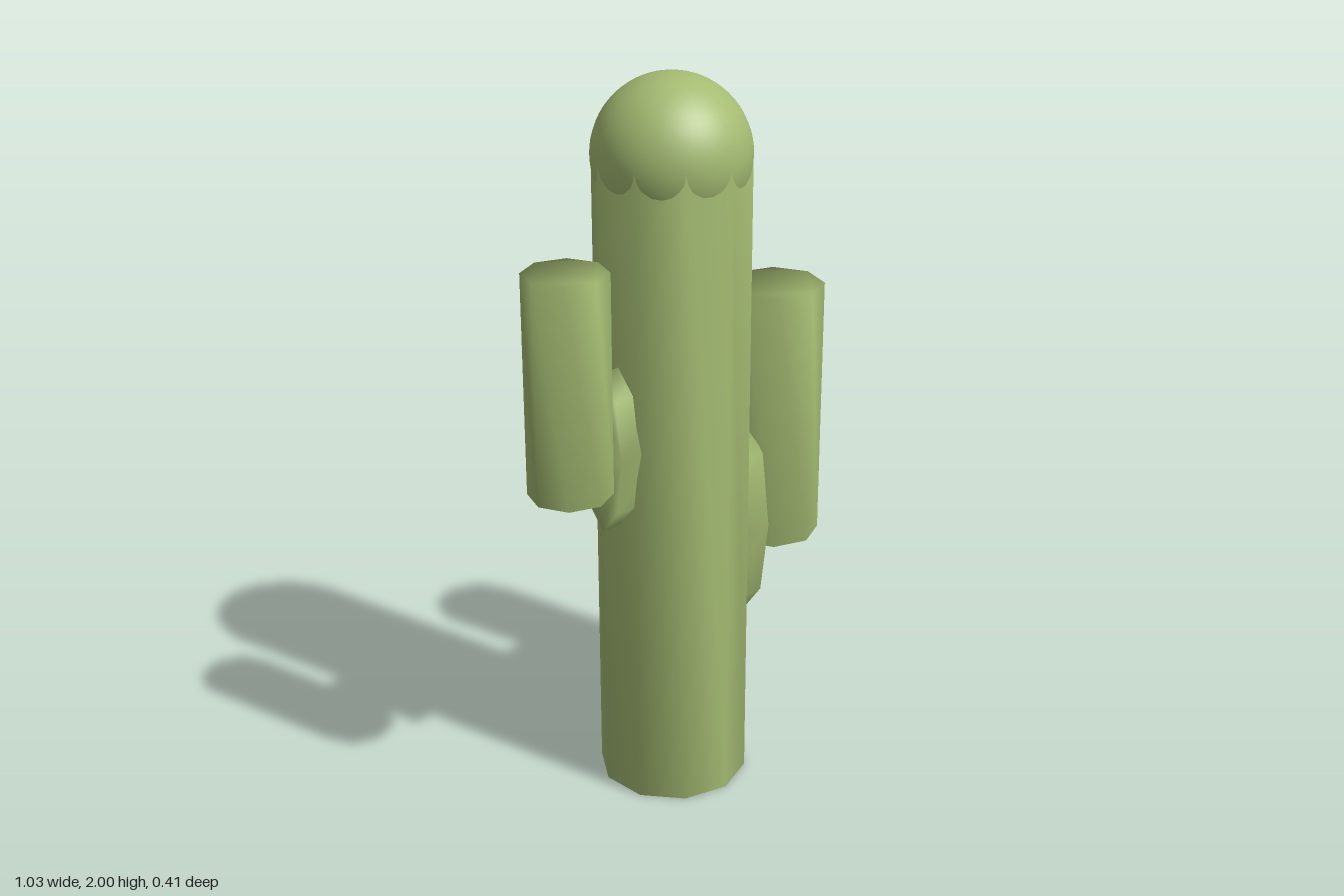
import * as THREE from 'three';
import { mergeVertices } from 'three/addons/utils/BufferGeometryUtils.js';

// Straight prism over a regular (or stretched) polygon, running along +z,
// with corners shared so the shading rolls softly over every edge.
function prism(sides, rx, ry, length) {
  const points = [];
  for (let i = 0; i < sides; i++) {
    const a = Math.PI / 2 + (i / sides) * Math.PI * 2;
    points.push(new THREE.Vector2(Math.cos(a) * rx, Math.sin(a) * ry));
  }
  const raw = new THREE.ExtrudeGeometry(new THREE.Shape(points), { depth: length, bevelEnabled: false });
  raw.deleteAttribute('normal');
  raw.deleteAttribute('uv');
  const geometry = mergeVertices(raw, 1e-4);
  geometry.computeVertexNormals();
  return geometry;
}

export function createModel() {
  const group = new THREE.Group();
  group.name = 'cactus';
  const green = new THREE.MeshStandardMaterial({ color: 0xa4bb72 });
  green.name = 'cactus green';

  const add = (name, geometry, x, y, parent = group) => {
    const mesh = new THREE.Mesh(geometry, green);
    mesh.name = name;
    mesh.position.set(x, y, 0);
    parent.add(mesh);
  };

  // Ten-sided trunk with a round cap whose lower half scallops over the faces
  const trunkX = -0.031;
  const trunkRadius = 0.207;
  const domeY = 2 - trunkRadius;
  add('trunk', prism(10, trunkRadius, trunkRadius, domeY).rotateX(-Math.PI / 2), trunkX, 0);
  add('dome', new THREE.SphereGeometry(trunkRadius, 48, 32), trunkX, domeY);

  // Each arm: an upright eight-sided stem on a tall, flattened connector
  const arms = [
    { name: 'leftArm', x: 0.379, radius: 0.134, bottom: 0.6, top: 1.345,
      from: 0.06, to: 0.265, midY: 0.675, halfZ: 0.09, halfY: 0.3 },
    { name: 'rightArm', x: -0.404, radius: 0.111, bottom: 0.975, top: 1.57,
      from: -0.291, to: -0.12, midY: 1.048, halfZ: 0.074, halfY: 0.223 },
  ];
  for (const a of arms) {
    const arm = new THREE.Group();
    arm.name = a.name;
    group.add(arm);
    add(a.name + 'Stem', prism(8, a.radius, a.radius, a.top - a.bottom).rotateX(-Math.PI / 2), a.x, a.bottom, arm);
    add(a.name + 'Connector', prism(8, a.halfZ, a.halfY, a.to - a.from).rotateY(Math.PI / 2), a.from, a.midY, arm);
  }
  return group;
}
